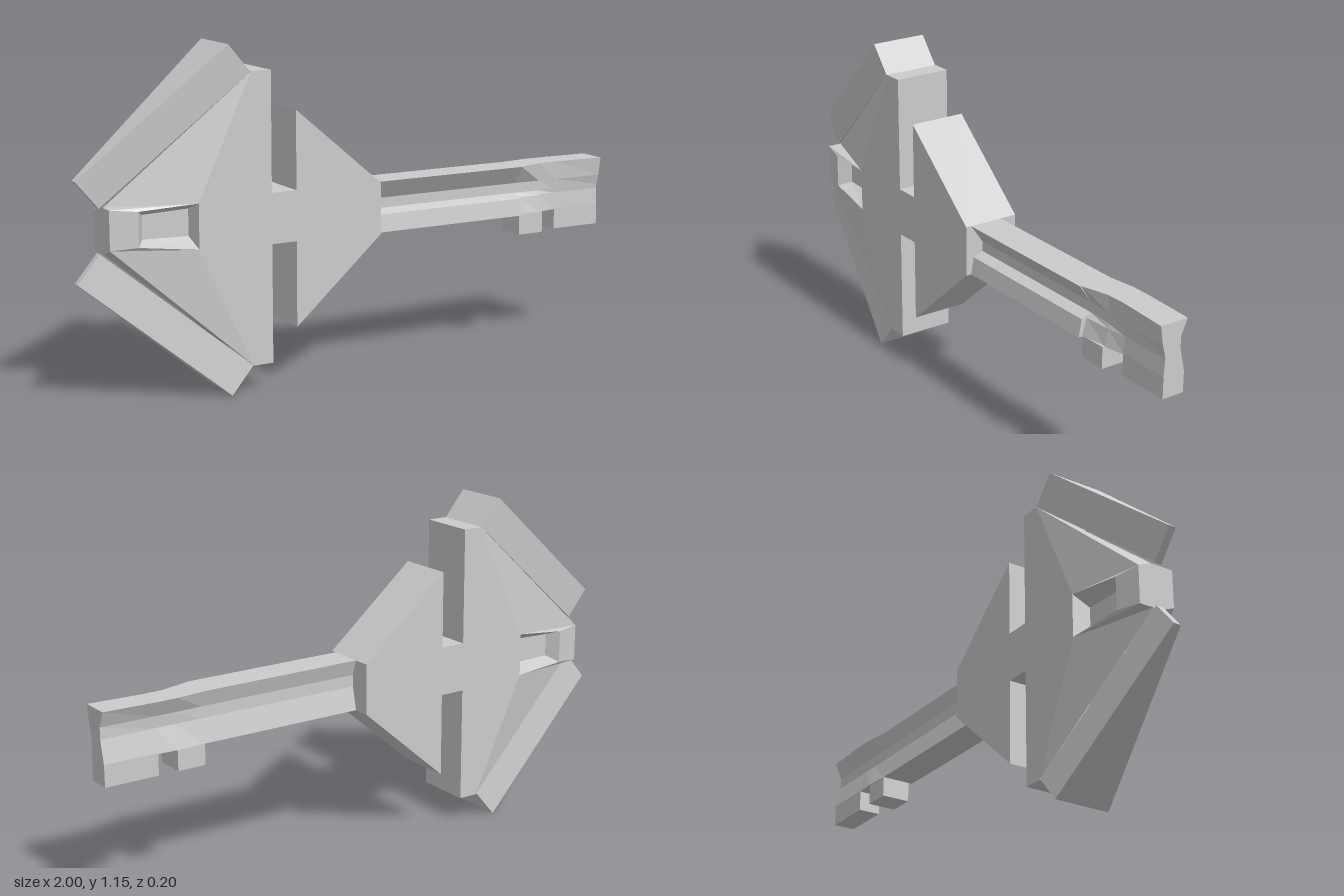
import * as THREE from 'three';

const mat = new THREE.MeshStandardMaterial({ color: 0xcccccc, flatShading: true });
const MID = 0.575; // height of the key's long axis

function add(parent, name, geo) {
  const mesh = new THREE.Mesh(geo, mat);
  mesh.name = name;
  parent.add(mesh);
  return mesh;
}

// Flat-shaded geometry from convex polygons
function fromPolygons(polys) {
  const out = [];
  for (const p of polys)
    for (let i = 1; i < p.length - 1; i++) out.push(...p[0], ...p[i], ...p[i + 1]);
  const geo = new THREE.BufferGeometry();
  geo.setAttribute('position', new THREE.Float32BufferAttribute(out, 3));
  geo.computeVertexNormals();
  return geo;
}

// Plate: tall bar, narrow neck and tapering shoulder
function plate() {
  const half = [[-0.43, 0.485], [-0.36, 0.485], [-0.36, 0.085], [-0.27, 0.085], [-0.27, 0.35], [0.05, 0.08]];
  const lower = half.map(([x, y]) => [x, x > 0 ? -0.095 : y === 0.35 ? -0.375 : -y]).reverse();
  const shape = new THREE.Shape([...half, ...lower].map(([x, y]) => new THREE.Vector2(x, y)));
  const geo = new THREE.ExtrudeGeometry(shape, { depth: 0.2, bevelEnabled: false });
  return geo.translate(0, 0, -0.1);
}

// Slanted bar, thinning to its outer tip
function wing() {
  const L = 0.639, W = 0.12;
  const geo = new THREE.BoxGeometry(L, W, 0.2);
  const p = geo.attributes.position;
  for (let i = 0; i < p.count; i++) if (p.getX(i) < 0) p.setZ(i, p.getZ(i) * 0.13);
  geo.translate(L / 2, -W / 2, 0).rotateZ(Math.atan2(0.41, 0.49)).translate(-1, 0.74 - MID, 0);
  geo.computeVertexNormals();
  return geo;
}

// One face of the grip: sloped cheeks and a raised block with a recess
function gripFace() {
  const A = [-0.43, 0.485, 0.1], A2 = [-0.43, -0.485, 0.1];
  const B = [-0.91, 0.075, 0.015], B2 = [-0.91, -0.075, 0.015];
  const T = [-0.91, 0.075, 0.065], T2 = [-0.91, -0.055, 0.065];
  const C = [-0.62, 0.075, 0.1], C2 = [-0.62, -0.075, 0.1];
  const R = [-0.82, 0.065, 0.083], R2 = [-0.82, -0.05, 0.083];
  const F = [-0.79, 0.045, 0.04], F2 = [-0.79, -0.035, 0.04];
  const G = [-0.63, 0.05, 0.04], G2 = [-0.63, -0.04, 0.04];
  return fromPolygons([
    [A, B, C], [A, C, C2, A2], [C2, T2, A2], [T2, B2, A2],                 // cheeks
    [T, T2, R2, R], [B, T, C], [T, R, C], [T2, C2, R2],                    // block
    [R, F, G, C], [C, G, G2, C2], [C2, G2, F2, R2], [R2, F2, F, R], [F, F2, G2, G], // recess
    [[-0.91, 0.075, 0], [-0.91, -0.075, 0], B2, T2, T],                    // end
  ]);
}

// Grooved blade lofted along x; each row lists x, then z down the front and up the back
function blade() {
  const ys = [0.655, 0.59, 0.555, 0.54, 0.48, 0.48, 0.56, 0.6, 0.655];
  const rows = [
    [0.05, 0.08, 0.035, 0.035, 0.07, 0.08, -0.04, -0.022, -0.022, -0.04],
    [0.64, 0.08, 0.035, 0.035, 0.07, 0.08, -0.04, -0.022, -0.022, -0.04],
    [0.64, 0.075, 0.035, 0.035, 0.05, 0.067, -0.04, -0.022, -0.022, -0.04],
    [0.74, 0.048, 0.04, 0.04, 0.045, 0.055, -0.045, -0.022, -0.025, -0.053],
    [0.81, 0.046, 0.042, 0.038, 0.036, 0.04, -0.04, -0.022, -0.025, -0.053],
    [1, 0.058, 0.048, 0.038, 0.036, 0.04, -0.04, -0.022, -0.022, -0.045],
  ];
  const rings = rows.map(([x, ...zs]) => zs.map((z, i) => [x, ys[i] - MID, z]));
  const polys = [];
  for (let r = 0; r < rings.length - 1; r++)
    for (let i = 0; i < ys.length; i++) {
      const j = (i + 1) % ys.length;
      polys.push([rings[r][i], rings[r][j], rings[r + 1][j], rings[r + 1][i]]);
    }
  const end = rings[rings.length - 1];
  const flat = end.map(([, y, z]) => new THREE.Vector2(-z, y));
  for (const t of THREE.ShapeUtils.triangulateShape(flat, [])) polys.push(t.map((i) => end[i]));
  return fromPolygons(polys);
}

function tooth(x0, x1, z0, z1) {
  const geo = new THREE.BoxGeometry(x1 - x0, 0.075, z1 - z0);
  return geo.translate((x0 + x1) / 2, 0.4455 - MID, (z0 + z1) / 2);
}

export function createModel() {
  const key = new THREE.Group();
  key.name = 'key';
  const body = new THREE.Group();
  body.name = 'keyBody';
  body.position.y = MID;
  key.add(body);

  add(body, 'handlePlate', plate());
  // Wings and grip faces repeat with a half turn about the long axis
  ['Front', 'Back'].forEach((side, i) => {
    add(body, i ? 'lowerWing' : 'upperWing', wing()).rotation.x = i * Math.PI;
    add(body, 'grip' + side, gripFace()).rotation.x = i * Math.PI;
  });
  add(body, 'blade', blade());
  add(body, 'innerTooth', tooth(0.64, 0.74, -0.04, 0.065));
  add(body, 'outerTooth', tooth(0.81, 1, -0.04, 0.04));
  return key;
}
